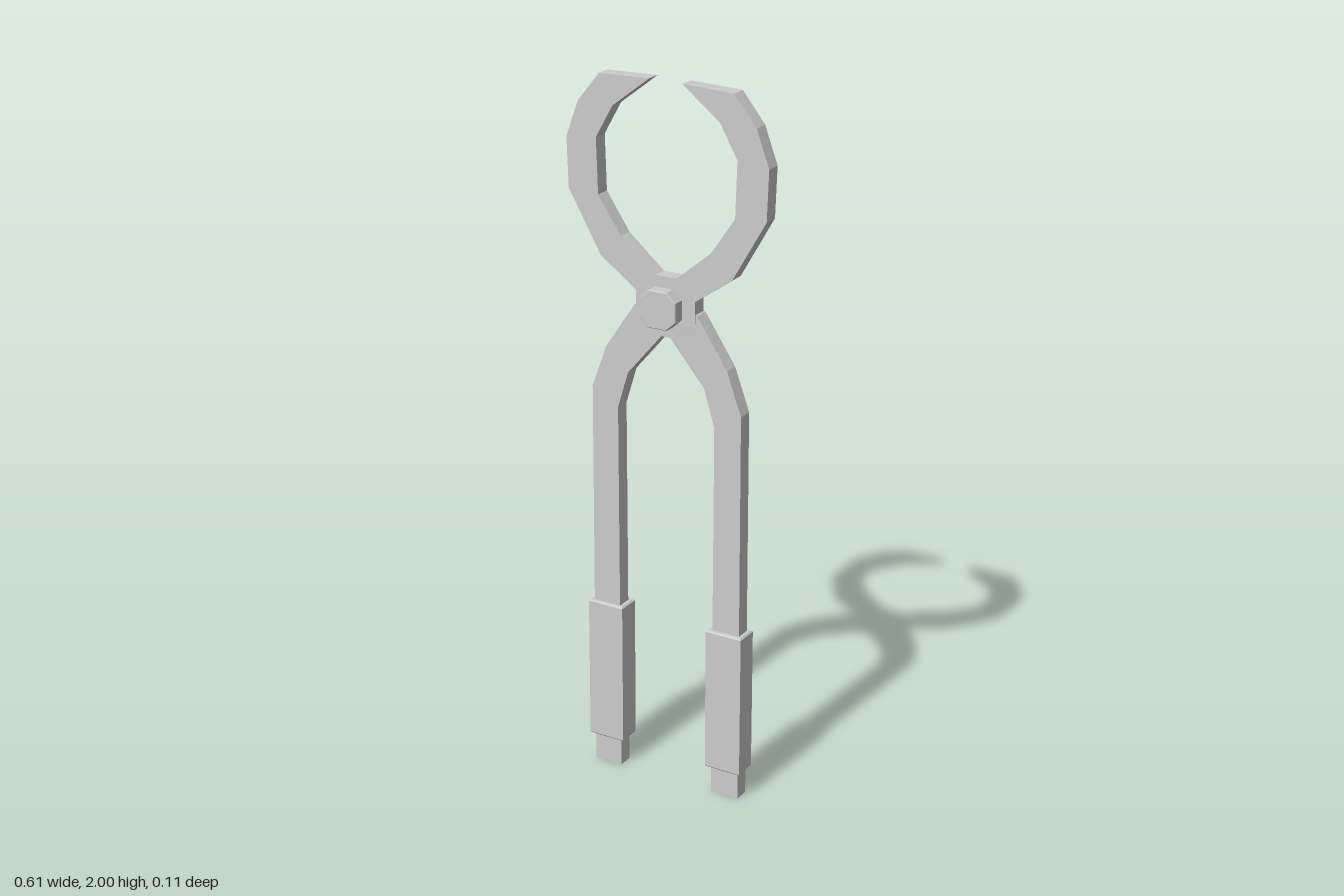
import * as THREE from 'three';

const steel = new THREE.MeshStandardMaterial({ color: 0xcccccc, flatShading: true });

// Flat plate from a 2D outline, spanning z0..z1, with an optional chamfer kept inside those limits
function plate(name, points, z0, z1, chamfer = 0) {
  const shape = new THREE.Shape(points.map(([x, y]) => new THREE.Vector2(x, y)));
  const geometry = new THREE.ExtrudeGeometry(shape, {
    depth: z1 - z0 - 2 * chamfer,
    bevelEnabled: chamfer > 0,
    bevelThickness: chamfer,
    bevelSize: chamfer,
    bevelOffset: -chamfer,
    bevelSegments: 1,
  });
  geometry.translate(0, 0, z0 + chamfer);
  const mesh = new THREE.Mesh(geometry, steel);
  mesh.name = name;
  return mesh;
}

// Octagon with half-width w, half-height h and flats of half-length f
const octagon = (w, h, f) => [
  [w, -f], [w, f], [f, h], [-f, h], [-w, f], [-w, -f], [-f, -h], [f, -h],
];

// One arm: curved jaw on the +x side, crossing the pivot to a handle on the -x side
const armOutline = [
  [0.05, 2], [0.2, 1.995], [0.265, 1.915], [0.302, 1.815], [0.297, 1.677], [0.2, 1.508],
  [0.09, 1.43], [-0.01, 1.32], [-0.116, 1.195], [-0.148, 1.09], [-0.146, 0],
  [-0.231, 0], [-0.228, 1.137], [-0.185, 1.255], [-0.095, 1.39],
  [0.03, 1.48], [0.137, 1.57], [0.206, 1.672], [0.211, 1.825], [0.16, 1.915],
];

export function createModel() {
  const group = new THREE.Group();
  group.name = 'tongs';
  const tool = new THREE.Group();
  tool.name = 'tool';
  group.add(tool);

  // Mirrored arms, the second lying a hair further back, each with a grip
  for (const side of [1, -1]) {
    const prefix = side > 0 ? 'left' : 'right';
    const shift = side * 0.0015;
    const outline = armOutline.map(([x, y]) => [x * side, y]);
    tool.add(plate(prefix + 'JawArm', outline, -0.0215 + shift, 0.0215 + shift));

    const w = 0.0545, d = 0.0335;
    const grip = plate(prefix + 'JawGrip', [[-w, -d], [w, -d], [w, d], [-w, d]], 0.08, 0.5, 0.004);
    grip.rotation.x = -Math.PI / 2;
    grip.position.x = -0.188 * side;
    tool.add(grip);
  }

  // Pivot hub and bolt head
  const hub = plate('pivotHub', octagon(0.09, 0.083, 0.03), -0.019, 0.0225);
  const bolt = plate('pivotBolt', octagon(0.054, 0.052, 0.027), 0.015, 0.0575, 0.002);
  hub.position.y = 1.4;
  bolt.position.set(-0.004, 1.4, 0);
  tool.add(hub, bolt);

  // The whole tool is turned slightly about the vertical
  tool.rotation.y = -0.08;
  tool.position.z = -0.007;
  return group;
}
